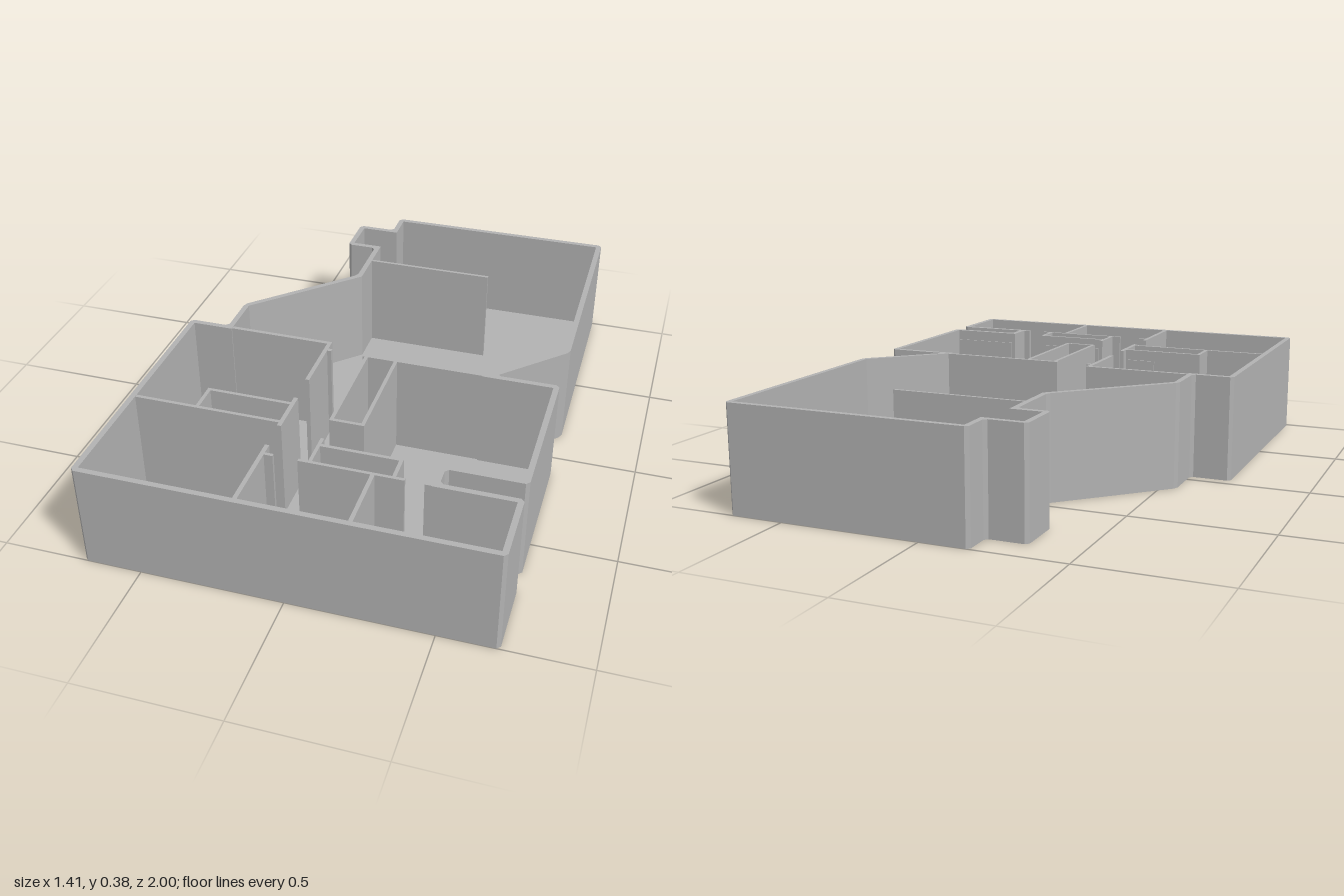
import * as THREE from 'three';

const HEIGHT = 0.38, FLOOR = 0.008, THICK = 0.02;

// Outer outline of the building as [x, z]
const OUTLINE = [
  [-0.175, -1], [0.7, -1], [0.705, -0.14], [0.48, 0.085], [0.705, 0.085], [0.705, 0.655],
  [0.435, 0.655], [0.435, 0.73], [0.705, 0.73], [0.705, 1], [-0.705, 1], [-0.705, 0.04],
  [-0.555, 0.04], [-0.555, -0.125], [-0.205, -0.47], [-0.205, -0.71], [-0.32, -0.71],
  [-0.32, -0.89], [-0.175, -0.89],
];

// Interior walls as [x0, z0, x1, z1]
const PARTITIONS = [
  [-0.19, -0.611, 0.3, -0.599],
  [-0.69, 0.04, -0.145, 0.055], [-0.16, 0.055, -0.145, 0.3],
  [-0.145, 0.085, -0.13, 0.1], [-0.16, 0.415, -0.145, 0.585], [-0.16, 0.695, -0.145, 0.98],
  [-0.145, 0.735, -0.115, 0.747],
  [-0.465, 0.445, -0.16, 0.458], [-0.465, 0.458, -0.452, 0.555], [-0.69, 0.555, -0.16, 0.568],
  [-0.01, 0.085, 0.47, 0.1],
  [-0.003, 0.1, 0.01, 0.507], [0.107, 0.1, 0.12, 0.507], [0.01, 0.494, 0.107, 0.507],
  [0.003, 0.61, 0.015, 0.735], [0.015, 0.64, 0.295, 0.653], [0.282, 0.653, 0.295, 0.735],
  [-0.03, 0.735, 0.325, 0.747], [0.39, 0.735, 0.42, 0.747],
  [0.214, 0.747, 0.228, 0.98],
];

// Moves every edge of the clockwise-in-plan outline inward
function inset(points, d) {
  const n = points.length;
  return points.map((p, i) => {
    const a = points[(i + n - 1) % n], b = points[(i + 1) % n];
    const u = new THREE.Vector2(p[0] - a[0], p[1] - a[1]).normalize();
    const v = new THREE.Vector2(b[0] - p[0], b[1] - p[1]).normalize();
    const k = d / (1 + u.dot(v));
    return [p[0] - (u.y + v.y) * k, p[1] + (u.x + v.x) * k];
  });
}

// Cuts each corner off by a small distance
function chamfer(points, c) {
  const n = points.length;
  return points.flatMap((p, i) => [points[(i + n - 1) % n], points[(i + 1) % n]].map((q) => {
    const t = c / Math.hypot(q[0] - p[0], q[1] - p[1]);
    return [p[0] + (q[0] - p[0]) * t, p[1] + (q[1] - p[1]) * t];
  }));
}

const vectors = (points) => points.map(([x, z]) => new THREE.Vector2(x, z));

// Upright prism from a plan outline, between two heights
function prism(outer, y0, y1, hole) {
  const shape = new THREE.Shape(vectors(outer));
  if (hole) shape.holes.push(new THREE.Path(vectors(hole)));
  const geometry = new THREE.ExtrudeGeometry(shape, { depth: y1 - y0, bevelEnabled: false });
  return geometry.rotateX(Math.PI / 2).translate(0, y1, 0);
}

export function createModel() {
  const group = new THREE.Group();
  group.name = 'floorPlan';
  const grey = new THREE.MeshStandardMaterial({ color: 0xb2b2b2 });
  grey.name = 'plaster grey';

  const add = (name, geometry) => {
    const mesh = new THREE.Mesh(geometry, grey);
    mesh.name = name;
    group.add(mesh);
  };
  const block = (name, x0, z0, x1, z1, y0, y1) => {
    const geometry = new THREE.BoxGeometry(x1 - x0, y1 - y0, z1 - z0);
    add(name, geometry.translate((x0 + x1) / 2, (y0 + y1) / 2, (z0 + z1) / 2));
  };

  // Floor and outer shell
  const outer = chamfer(OUTLINE, 0.012);
  add('floor', prism(outer, 0, FLOOR));
  add('outerWall', prism(outer, FLOOR, HEIGHT, inset(OUTLINE, THICK)));

  // Room dividers and closets
  PARTITIONS.forEach(([x0, z0, x1, z1]) => block('partition', x0, z0, x1, z1, FLOOR, HEIGHT - 0.001));

  // Low hearth along the diagonal wall
  add('hearth', prism([[0.44, 0.07], [0.44, 0], [0.6, -0.16], [0.67, -0.16]], FLOOR, 0.018));

  // Closet doors
  block('closetDoor', 0.43, 0.63, 0.68, 0.636, FLOOR, 0.34);
  block('closetDoor', 0.03, 0.632, 0.28, 0.638, FLOOR, 0.34);
  block('closetDoor', -0.28, 0.437, -0.17, 0.443, FLOOR, 0.34);

  // Bathroom fixtures
  block('washstand', -0.13, 0.9, -0.03, 0.95, FLOOR, 0.08);
  block('toilet', 0, 0.93, 0.025, 0.965, FLOOR, 0.06);
  return group;
}
